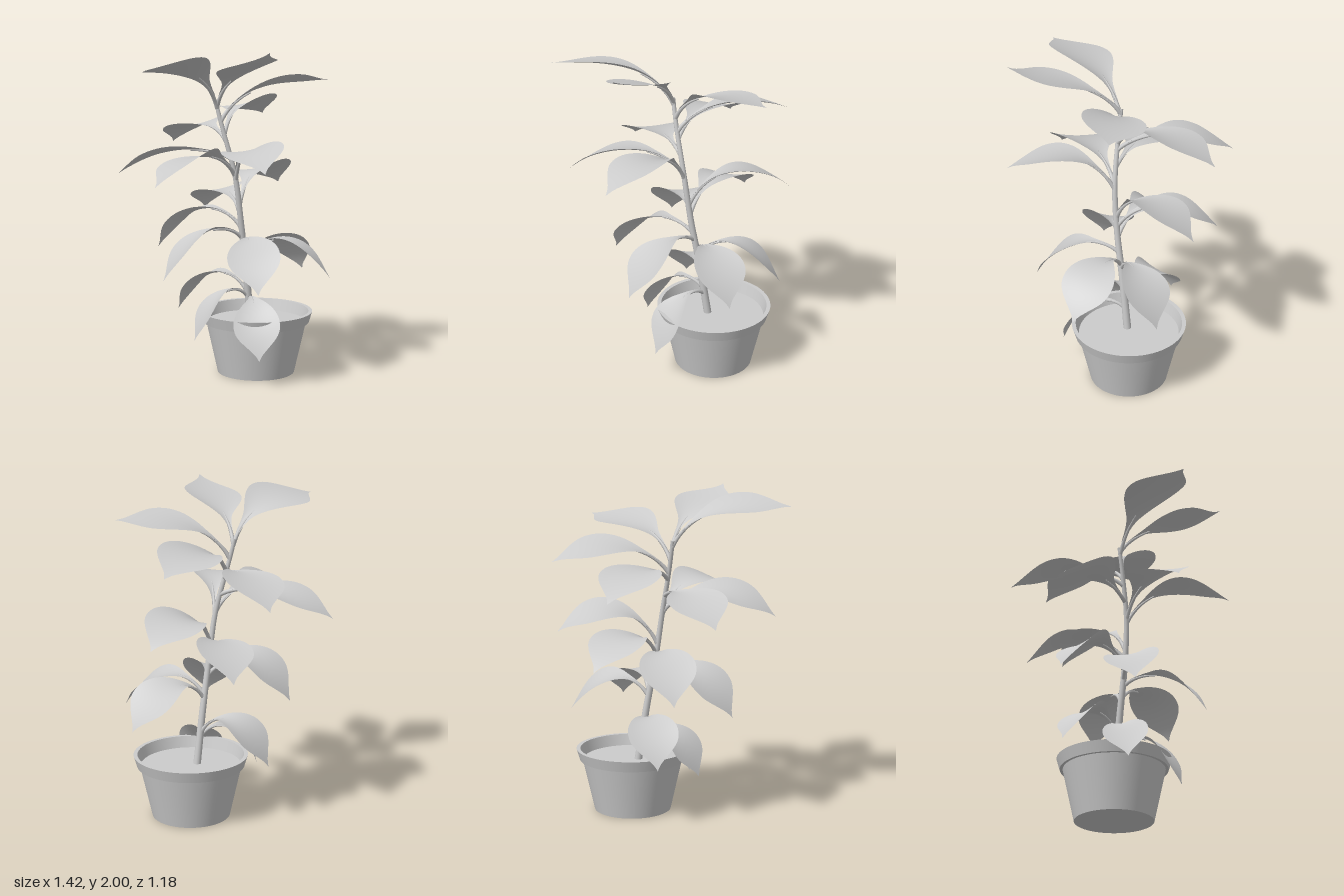
import * as THREE from 'three';

const grey = new THREE.MeshStandardMaterial({ color: 0xcccccc });
const thin = new THREE.MeshStandardMaterial({ color: 0xcccccc, side: THREE.DoubleSide });
const V = (x, y, z) => new THREE.Vector3(x, y, z);
const UP = V(0, 1, 0);

// Stem centre line, bottom to top
const stemPoints = [
  V(0.22, 0.3, 0.1), V(0.165, 0.65, 0.1), V(0.11, 0.95, 0.1), V(0.065, 1.25, 0.085),
  V(0.02, 1.52, 0.03), V(0.005, 1.63, 0.005), V(-0.003, 1.7, -0.01),
];
const stemCurve = new THREE.CatmullRomCurve3(stemPoints);

function stemAt(y) {
  let i = 0;
  while (i < stemPoints.length - 2 && stemPoints[i + 1].y < y) i++;
  const a = stemPoints[i], b = stemPoints[i + 1];
  return a.clone().lerp(b, (y - a.y) / (b.y - a.y));
}

// Half-width of the blade along its length (0..1 of the maximum):
// a slender winged base, a broad middle and a drawn-out tip
const outline = new THREE.SplineCurve([
  [0, 0.06], [0.1, 0.1], [0.2, 0.23], [0.3, 0.5], [0.4, 0.77], [0.5, 0.95], [0.59, 1],
  [0.68, 0.94], [0.76, 0.75], [0.85, 0.43], [0.92, 0.18], [0.96, 0.08], [1, 0],
].map(([s, w]) => new THREE.Vector2(s, w)));

// Tube whose radius shrinks from r0 to r1
function taperedTube(curve, r0, r1, segments, sides) {
  const g = new THREE.TubeGeometry(curve, segments, 1, sides);
  const p = g.attributes.position, v = V(0, 0, 0);
  for (let i = 0; i < p.count; i++) {
    const t = Math.floor(i / (sides + 1)) / segments;
    const c = curve.getPointAt(t);
    v.fromBufferAttribute(p, i).sub(c).multiplyScalar(r0 + (r1 - r0) * t).add(c);
    p.setXYZ(i, v.x, v.y, v.z);
  }
  return g;
}

// Blade swept along the rib; folded up near the base, flat at the tip, slightly rolled
function bladeGeometry(rib, start) {
  const rows = 32, cols = 10, pos = [], index = [];
  const half = rib.getLength() * 0.24;
  for (let i = 0; i <= rows; i++) {
    const o = outline.getPoint(i / rows);
    const t = Math.min(1, start + (1 - start) * o.x);
    const c = rib.getPointAt(t), dir = rib.getTangentAt(t);
    const side = dir.clone().cross(UP).normalize();
    side.applyAxisAngle(dir, -0.25 * side.z);
    const normal = side.clone().cross(dir).normalize();
    const w = half * Math.max(0, o.y);
    const fold = 0.26 * (1 - o.x);
    for (let j = 0; j <= cols; j++) {
      const u = (j / cols) * 2 - 1;
      const p = c.clone().addScaledVector(side, u * w)
        .addScaledVector(normal, fold * w * u * u + 0.004);
      pos.push(p.x, p.y, p.z);
      if (i < rows && j < cols) {
        const a = i * (cols + 1) + j, b = a + cols + 1;
        index.push(a, a + 1, b, a + 1, b + 1, b);
      }
    }
  }
  const g = new THREE.BufferGeometry();
  g.setAttribute('position', new THREE.Float32BufferAttribute(pos, 3));
  g.setIndex(index);
  g.computeVertexNormals();
  return g;
}

// One leaf: joint height on the stem, height of the arch, tip position
function makeLeaf([baseY, midY, x, y, z]) {
  const leaf = new THREE.Group();
  leaf.name = 'leaf';
  const base = stemAt(baseY), tip = V(x, y, z);
  const h = (midY - (baseY + y) / 8) * 4 / 3;
  const p1 = base.clone().lerp(tip, 0.18).setY(h);
  const p2 = base.clone().lerp(tip, 0.68).setY(h);
  const rib = new THREE.CubicBezierCurve3(base, p1, p2, tip);

  const stalkPoints = [];
  for (let i = 0; i <= 6; i++) stalkPoints.push(rib.getPointAt((i / 6) * 0.34));
  const stalk = new THREE.Mesh(
    taperedTube(new THREE.CatmullRomCurve3(stalkPoints), 0.014, 0.005, 10, 8), grey);
  stalk.name = 'leafStalk';

  const blade = new THREE.Mesh(bladeGeometry(rib, 0.1), thin);
  blade.name = 'leafBlade';
  leaf.add(stalk, blade);
  return leaf;
}

// joint y, arch y, tip x, y, z
const leaves = [
  [1.66, 1.89, -0.71, 1.9, 0], [1.67, 1.87, -0.3, 2.0, 0.57],
  [1.58, 1.79, 0.53, 1.82, 0.45], [1.5, 1.66, 0.705, 1.58, -0.14],
  [1.46, 1.54, 0.335, 1.4, -0.59], [1.36, 1.4, -0.27, 1.25, -0.55],
  [1.25, 1.39, -0.62, 1.24, 0.01], [1.22, 1.43, -0.35, 1.33, 0.575],
  [1.05, 1.26, 0.695, 1.14, -0.01], [0.99, 1.13, 0.435, 0.97, -0.41],
  [0.92, 1.03, -0.03, 0.775, -0.43], [0.86, 0.92, -0.365, 0.645, -0.13],
  [0.82, 0.87, -0.24, 0.61, 0.46], [0.74, 0.85, 0.35, 0.63, 0.585],
  [0.72, 0.83, 0.65, 0.6, 0.205], [0.48, 0.53, -0.165, 0.25, -0.05],
  [0.45, 0.48, -0.09, 0.17, 0.37], [0.5, 0.62, 0.07, 0.37, -0.35],
];

// Lathe built band by band so the pot keeps crisp edges
function makePot() {
  const pot = new THREE.Group();
  pot.name = 'pot';
  const profile = [
    [0, 0], [0.24, 0], [0.312, 0.322], [0.33, 0.322], [0.35, 0.39], [0.326, 0.39], [0.302, 0.3],
  ].map(([r, y]) => new THREE.Vector2(r, y));
  const names = ['potBase', 'potWall', 'rimUnderside', 'rimBand', 'rimTop', 'rimInside'];
  names.forEach((name, i) => {
    const band = new THREE.Mesh(new THREE.LatheGeometry(profile.slice(i, i + 2), 64), thin);
    band.name = name;
    pot.add(band);
  });
  const soil = new THREE.Mesh(new THREE.CircleGeometry(0.307, 64), grey);
  soil.name = 'soil';
  soil.rotation.x = -Math.PI / 2;
  soil.position.y = 0.32;
  pot.add(soil);
  pot.position.set(0.255, 0, 0.116);
  return pot;
}

export function createModel() {
  const plant = new THREE.Group();
  plant.name = 'pottedPlant';
  plant.add(makePot());

  const stem = new THREE.Mesh(taperedTube(stemCurve, 0.024, 0.012, 48, 12), grey);
  stem.name = 'stem';
  plant.add(stem);

  const foliage = new THREE.Group();
  foliage.name = 'foliage';
  leaves.forEach((l) => foliage.add(makeLeaf(l)));
  plant.add(foliage);
  return plant;
}
